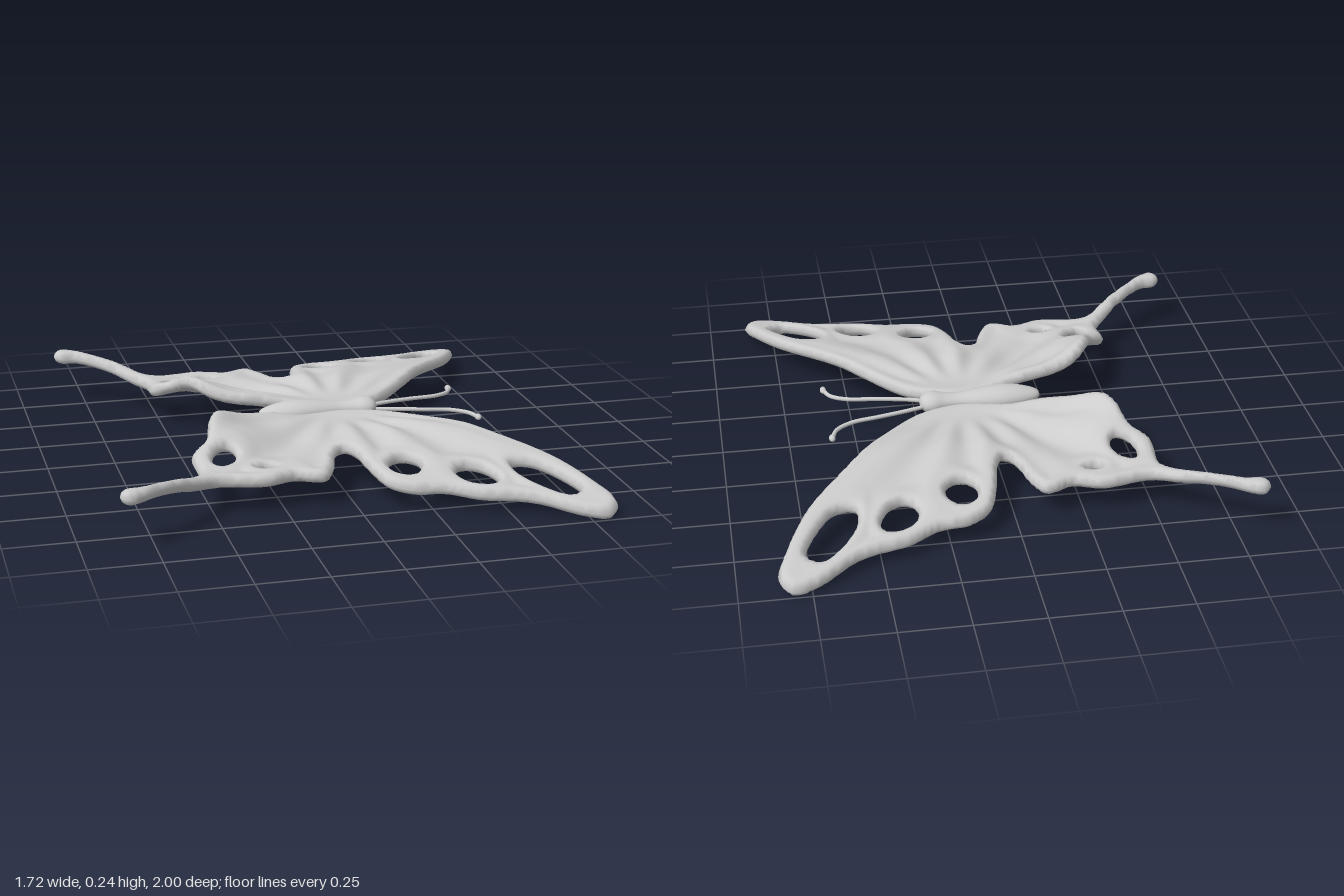
import * as THREE from 'three';

const material = new THREE.MeshStandardMaterial({ color: 0xcccccc });
const smooth = THREE.MathUtils.smoothstep;

// Wing outline as [x, z]: leading edge, tip, notch, hind lobes, tail, back to the root
const OUTLINE = [
  [0.1, 0.033], [0.27, 0.085], [0.43, 0.24], [0.58, 0.43], [0.74, 0.64], [0.825, 0.82], [0.86, 0.94], [0.815, 1],
  [0.72, 0.97], [0.6, 0.885], [0.53, 0.855], [0.4, 0.825], [0.29, 0.77], [0.18, 0.755], [0.1, 0.7], [0.06, 0.585],
  [0.04, 0.48], [0.01, 0.43], [-0.025, 0.46], [-0.06, 0.57], [-0.105, 0.643], [-0.155, 0.635], [-0.205, 0.61],
  [-0.315, 0.643], [-0.475, 0.62], [-0.53, 0.642], [-0.58, 0.69], [-0.7, 0.785], [-0.79, 0.86], [-0.835, 0.876],
  [-0.863, 0.838], [-0.84, 0.8], [-0.79, 0.795], [-0.755, 0.775], [-0.66, 0.698], [-0.58, 0.61], [-0.54, 0.55],
  [-0.535, 0.4], [-0.475, 0.35], [-0.44, 0.24], [-0.385, 0.16], [-0.26, 0.11], [-0.1, 0.085], [0, 0.05],
];
// Openings near the margin
const HOLES = [
  [[0.19, 0.545], [0.24, 0.575], [0.235, 0.645], [0.19, 0.675], [0.14, 0.645], [0.14, 0.575]],
  [[0.39, 0.635], [0.45, 0.655], [0.49, 0.74], [0.46, 0.775], [0.38, 0.75], [0.353, 0.68]],
  [[0.57, 0.645], [0.64, 0.65], [0.72, 0.75], [0.757, 0.85], [0.71, 0.885], [0.63, 0.82], [0.57, 0.72]],
  [[-0.4, 0.385], [-0.383, 0.43], [-0.41, 0.49], [-0.455, 0.51], [-0.472, 0.45], [-0.44, 0.395]],
  [[-0.267, 0.535], [-0.298, 0.554], [-0.332, 0.54], [-0.3, 0.523]],
];

const loop = (points, n) => new THREE.CatmullRomCurve3(
  points.map(([x, z]) => new THREE.Vector3(x, 0, z)), true, 'centripetal').getSpacedPoints(n).slice(0, n);
const LOOPS = [loop(OUTLINE, 260), ...HOLES.map((h) => loop(h, 28))];

// Nearest point on any edge loop, its distance, and whether (x, z) is inside the wing
function locate(x, z) {
  let best = Infinity, px = 0, pz = 0, inside = false;
  for (const pts of LOOPS) {
    for (let i = 0, j = pts.length - 1; i < pts.length; j = i++) {
      const a = pts[j], b = pts[i], dx = b.x - a.x, dz = b.z - a.z;
      const t = THREE.MathUtils.clamp(((x - a.x) * dx + (z - a.z) * dz) / (dx * dx + dz * dz), 0, 1);
      const qx = a.x + t * dx, qz = a.z + t * dz, d = (x - qx) ** 2 + (z - qz) ** 2;
      if (d < best) { best = d; px = qx; pz = qz; }
      if ((a.z > z) !== (b.z > z) && x < a.x + ((z - a.z) / dz) * dx) inside = !inside;
    }
  }
  return { x, z, px, pz, inside, d: Math.sqrt(best) };
}

// Height of the wing's middle surface: drooping forewing, raised hind edge and tail, radial folds
function midHeight(x, z, d) {
  const fore = 0.132 + 0.015 * smooth(z, 0.1, 0.35) - 0.128 * Math.pow(Math.max(0, (z - 0.35) / 0.65), 1.25);
  const sz = z < 0.22 ? 0.13 : 0.2;
  const ridge = 0.09 * Math.exp(-(((x + 0.43) / 0.17) ** 2) - ((z - 0.22) / sz) ** 2)
    + 0.025 * Math.exp(-(((x + 0.2) / 0.13) ** 2) - ((z - 0.1) / 0.09) ** 2);
  const tail = 0.065 * smooth(z, 0.52, 0.84) * smooth(-x, 0.4, 0.65);
  const hind = 0.135 - 0.023 * smooth(z, 0.12, 0.4) + tail + ridge;
  const r = Math.hypot(x - 0.1, z - 0.03), angle = Math.atan2(z - 0.03, x - 0.1);
  const folds = 0.009 * Math.cos(angle * 15) * smooth(r, 0.12, 0.3) * smooth(d, 0.015, 0.09);
  return THREE.MathUtils.lerp(fore, hind, smooth(-x, -0.08, 0.15)) + folds;
}

// Half thickness: round rim with a slightly thinner membrane inside
function halfThickness(d) {
  const r = 0.025, u = Math.min(d / r, 1);
  return r * Math.sqrt(1 - (1 - u) ** 2) - 0.007 * smooth(d, r, 0.11);
}

// Wing: a grid clipped to the outline, its outer vertices pulled onto the edge
function createWing(side) {
  const step = 0.0125, nx = 140, nz = 82, x0 = -0.88, z0 = 0.01;
  const grid = [], positions = [], index = [];
  for (let j = 0; j <= nz; j++) {
    for (let i = 0; i <= nx; i++) grid.push(locate(x0 + i * step, z0 + j * step));
  }
  const add = (x, y, z) => positions.push(x, y, z * side) / 3 - 1;
  const vertex = (p) => {
    if (p.top !== undefined) return;
    if (!p.inside || p.d < step * 0.25) {
      p.top = p.bottom = add(p.px, midHeight(p.px, p.pz, 0), p.pz);
    } else {
      const y = midHeight(p.x, p.z, p.d), h = halfThickness(p.d);
      p.top = add(p.x, y + h, p.z);
      p.bottom = add(p.x, y - h, p.z);
    }
  };
  const tri = (a, b, c) => {
    if (a.top === a.bottom && b.top === b.bottom && c.top === c.bottom) return;
    const [p, q] = side > 0 ? [b, c] : [c, b];
    index.push(a.top, p.top, q.top, a.bottom, q.bottom, p.bottom);
  };
  for (let j = 0; j < nz; j++) {
    for (let i = 0; i < nx; i++) {
      const k = j * (nx + 1) + i;
      const [a, b, c, d] = [grid[k], grid[k + 1], grid[k + nx + 2], grid[k + nx + 1]];
      if (![a, b, c, d].some((p) => p.inside)) continue;
      [a, b, c, d].forEach(vertex);
      // Split along the diagonal that follows the edge
      if (a.inside && c.inside) { tri(a, d, c); tri(a, c, b); }
      else { tri(a, d, b); tri(b, d, c); }
    }
  }
  const geometry = new THREE.BufferGeometry();
  geometry.setAttribute('position', new THREE.Float32BufferAttribute(positions, 3));
  geometry.setIndex(index);
  geometry.computeVertexNormals();
  const wing = new THREE.Mesh(geometry, material);
  wing.name = side > 0 ? 'leftWing' : 'rightWing';
  return wing;
}

// Body: abdomen, thorax and head turned about the x axis
function createBody() {
  const ends = [[0, -0.202], [0.02, -0.195], [0.036, -0.17], [0.052, -0.12], [0.06, -0.06], [0.056, 0], [0.046, 0.06],
    [0.038, 0.11], [0.042, 0.16], [0.052, 0.2], [0.048, 0.23], [0.028, 0.25], [0, 0.257]];
  const curve = new THREE.SplineCurve(ends.map(([r, x]) => new THREE.Vector2(r, x)));
  const profile = curve.getPoints(48).map((p) => new THREE.Vector2(Math.max(0, p.x), p.y));
  const geometry = new THREE.LatheGeometry(profile, 32).rotateZ(-Math.PI / 2);
  const body = new THREE.Mesh(geometry, material);
  body.name = 'body';
  body.scale.set(1, 0.74, 1);
  body.position.y = 0.145;
  return body;
}

// Antenna: a thin curved stalk with a small club
function createAntenna(side) {
  const antenna = new THREE.Group();
  antenna.name = side > 0 ? 'leftAntenna' : 'rightAntenna';
  const path = new THREE.CatmullRomCurve3([[0.23, 0.14, 0.02], [0.31, 0.14, 0.045], [0.42, 0.138, 0.07],
    [0.52, 0.135, 0.09], [0.58, 0.132, 0.13], [0.603, 0.13, 0.185]].map(([x, y, z]) => new THREE.Vector3(x, y, z * side)));
  const stalk = new THREE.Mesh(new THREE.TubeGeometry(path, 40, 0.008, 10), material);
  stalk.name = 'stalk';
  const club = new THREE.Mesh(new THREE.SphereGeometry(0.012, 16, 12), material);
  club.name = 'club';
  club.scale.z = 1.6;
  club.position.set(0.603, 0.13, 0.185 * side);
  antenna.add(stalk, club);
  return antenna;
}

export function createModel() {
  const model = new THREE.Group();
  model.name = 'butterfly';
  model.add(createBody());
  for (const side of [1, -1]) model.add(createWing(side), createAntenna(side));
  return model;
}
